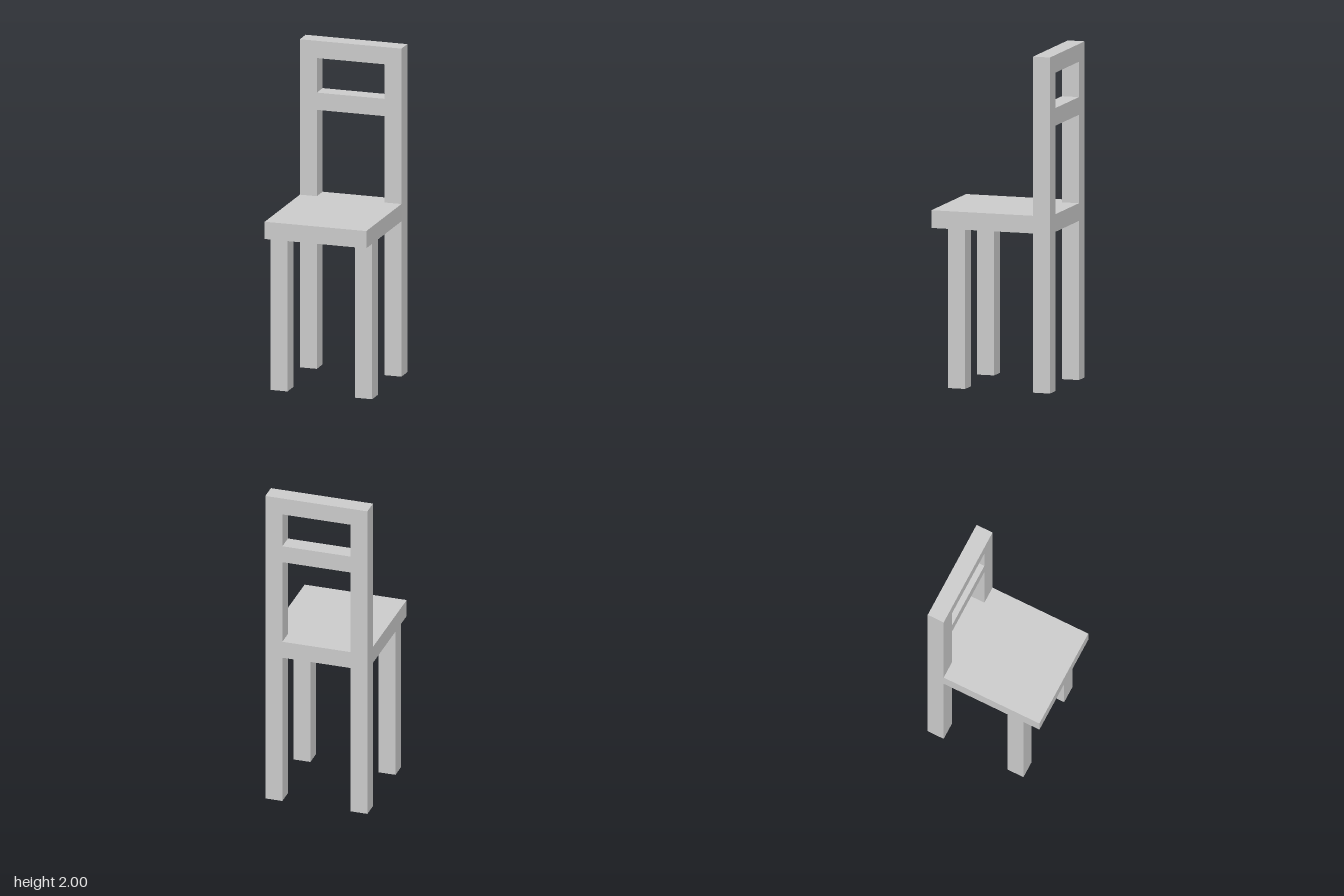
import * as THREE from 'three';

const U = 2 / 19;          // thickness of every post, rail and the seat
const HALF_W = 3 * U;      // half of the width
const HALF_D = 3.5 * U;    // half of the depth

export function createModel() {
  const chair = new THREE.Group();
  chair.name = 'chair';
  const material = new THREE.MeshStandardMaterial({ color: 0xcccccc, flatShading: true });

  const add = (name, geometry, x, y, z) => {
    const mesh = new THREE.Mesh(geometry, material);
    mesh.name = name;
    mesh.position.set(x, y, z);
    chair.add(mesh);
  };

  // Seat slab, notched at the rear corners to fit between the back posts
  const inner = HALF_W - U;
  const outline = new THREE.Shape([
    [-HALF_W, -HALF_D], [HALF_W, -HALF_D], [HALF_W, HALF_D - U], [inner, HALF_D - U],
    [inner, HALF_D], [-inner, HALF_D], [-inner, HALF_D - U], [-HALF_W, HALF_D - U],
  ].map(([x, y]) => new THREE.Vector2(x, y)));
  const seat = new THREE.ExtrudeGeometry(outline, { depth: U, bevelEnabled: false });
  seat.rotateX(-Math.PI / 2);
  add('seat', seat, 0, 9 * U, 0);

  // Front legs and full-height back posts, mirrored
  for (const [side, s] of [['left', 1], ['right', -1]]) {
    const x = s * (HALF_W - U / 2);
    add(`${side}FrontLeg`, new THREE.BoxGeometry(U, 9 * U, U), x, 4.5 * U, 2 * U);
    add(`${side}BackPost`, new THREE.BoxGeometry(U, 19 * U, U), x, 9.5 * U, -HALF_D + U / 2);
  }

  // Back rails between the posts
  for (const [name, y] of [['middleRail', 15.5 * U], ['topRail', 18.5 * U]]) {
    add(name, new THREE.BoxGeometry(2 * inner, U, U), 0, y, -HALF_D + U / 2);
  }

  return chair;
}
